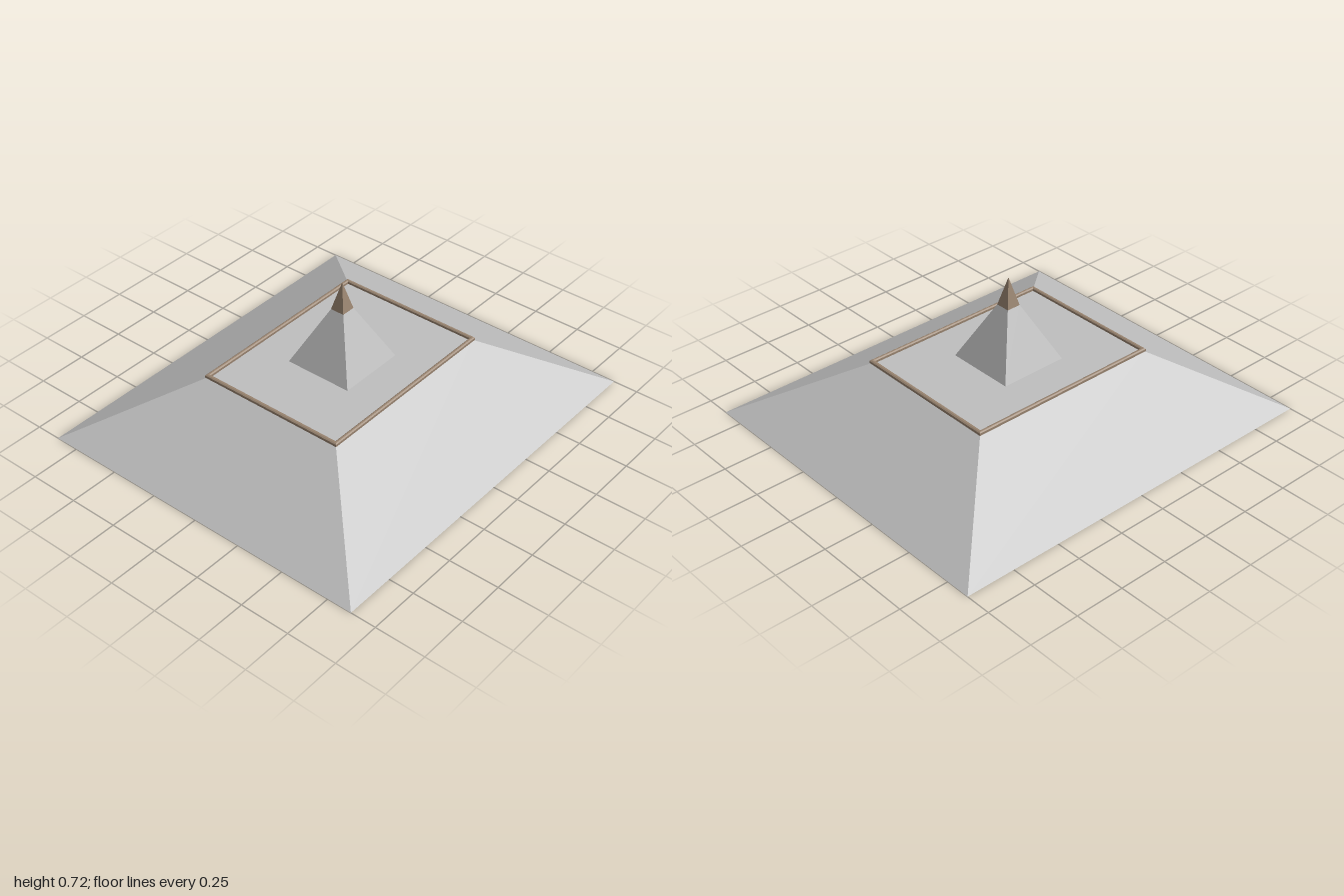
import * as THREE from 'three';

const stone = new THREE.MeshStandardMaterial({ color: 0xbfbfbf, flatShading: true });
stone.name = 'grey slate';
const copper = new THREE.MeshStandardMaterial({ color: 0x998470, flatShading: true });
copper.name = 'brown trim';

// Rectangular frustum from a box whose top corners are pulled in
function frustum(bottomX, bottomZ, topX, topZ, y0, y1) {
  const geo = new THREE.BoxGeometry(2, y1 - y0, 2);
  geo.translate(0, (y0 + y1) / 2, 0);
  const pos = geo.attributes.position;
  const mid = (y0 + y1) / 2;
  for (let i = 0; i < pos.count; i++) {
    const top = pos.getY(i) > mid;
    pos.setX(i, pos.getX(i) * (top ? topX : bottomX));
    pos.setZ(i, pos.getZ(i) * (top ? topZ : bottomZ));
  }
  geo.computeVertexNormals();
  return geo;
}

function rectangle(path, x, z) {
  path.moveTo(-x, -z);
  path.lineTo(x, -z);
  path.lineTo(x, z);
  path.lineTo(-x, z);
  path.closePath();
  return path;
}

export function createModel() {
  const model = new THREE.Group();
  model.name = 'hippedRoof';
  const add = (name, geometry, material) => {
    const mesh = new THREE.Mesh(geometry, material);
    mesh.name = name;
    model.add(mesh);
  };

  // Broad sloping roof with a flat deck
  add('roofSlopes', frustum(1, 0.873, 0.5, 0.378, 0, 0.3), stone);

  // Thin bevelled trim around the deck edge
  const outline = rectangle(new THREE.Shape(), 0.502, 0.38);
  outline.holes.push(rectangle(new THREE.Path(), 0.495, 0.373));
  const trim = new THREE.ExtrudeGeometry(outline, {
    depth: 0.012, bevelEnabled: true, bevelThickness: 0.004, bevelSize: 0.006, bevelSegments: 1,
  });
  trim.rotateX(-Math.PI / 2);
  trim.translate(0, 0.299, 0);
  add('deckTrim', trim, copper);

  // Central spire with a steeper pointed cap
  add('spireBase', frustum(0.174, 0.174, 0.036, 0.036, 0.3, 0.58), stone);
  const cap = new THREE.ConeGeometry(0.036 * Math.SQRT2, 0.142, 4);
  cap.rotateY(Math.PI / 4);
  cap.translate(0, 0.651, 0);
  add('spireCap', cap, copper);

  return model;
}
